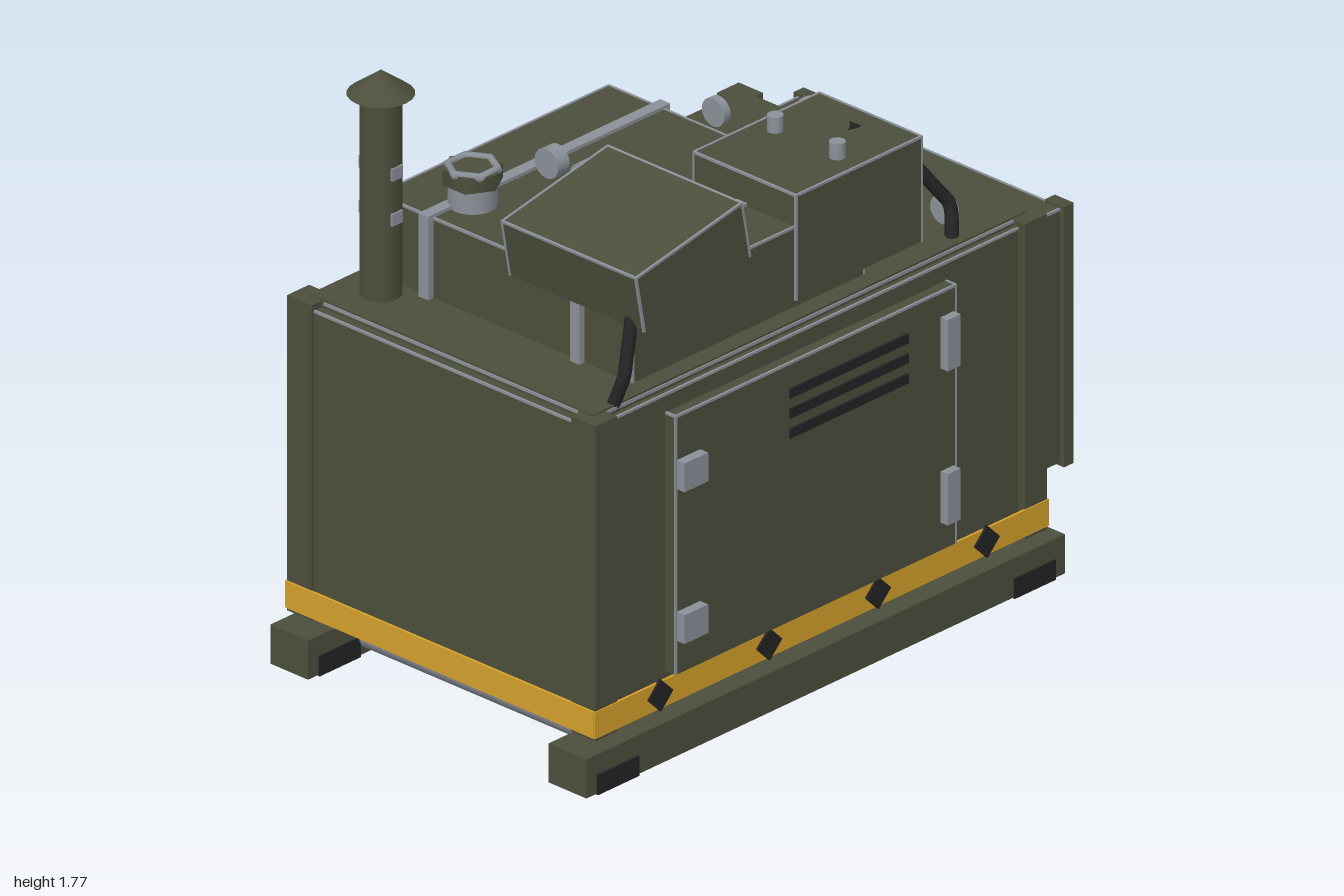
import * as THREE from 'three';

const mat = (name, color) => {
  const m = new THREE.MeshStandardMaterial({ color });
  m.name = name;
  return m;
};

export function createModel() {
  const olive = mat('olive paint', 0x4b4f3b);
  const steel = mat('steel', 0x8b9199);
  const black = mat('black rubber', 0x232323);
  const yellow = mat('warning yellow', 0xd6a02c);
  const model = new THREE.Group();
  model.name = 'generator';
  const CZ = -0.01; // centre line of the body

  const add = (name, geo, material, x = 0, y = 0, z = 0, parent = model) => {
    const m = new THREE.Mesh(geo, material);
    m.name = name;
    m.position.set(x, y, z);
    parent.add(m);
    return m;
  };
  // box given by its limits on each axis
  const box = (name, material, [x0, x1], [y0, y1], [z0, z1], parent = model) =>
    add(name, new THREE.BoxGeometry(x1 - x0, y1 - y0, z1 - z0), material,
      (x0 + x1) / 2, (y0 + y1) / 2, (z0 + z1) / 2, parent);
  const cyl = (name, material, r, h, x, y, z, sides = 20, axis = 'y') => {
    const g = new THREE.CylinderGeometry(r, r, h, sides);
    if (axis === 'x') g.rotateZ(Math.PI / 2);
    if (axis === 'z') g.rotateX(Math.PI / 2);
    return add(name, g, material, x, y, z);
  };
  // box with worn bare-metal upper and upright edges
  const wornBox = (name, X, Y, Z) => {
    const g = new THREE.Group();
    g.name = name;
    model.add(g);
    const mid = [X, Y, Z].map(([a, b]) => (a + b) / 2);
    const [w, h, d] = [X, Y, Z].map(([a, b]) => b - a);
    g.position.set(...mid);
    add(name + 'Panel', new THREE.BoxGeometry(w, h, d), olive, 0, 0, 0, g);
    const t = 0.007, o = 0.002;
    for (const s of [-1, 1]) {
      const ex = s * (w / 2 - t / 2 + o), ez = s * (d / 2 - t / 2 + o), ey = h / 2 - t / 2 + o;
      add('wornEdge', new THREE.BoxGeometry(w, t, t), steel, 0, ey, ez, g);
      add('wornEdge', new THREE.BoxGeometry(t, t, d), steel, ex, ey, 0, g);
      for (const q of [-1, 1])
        add('wornEdge', new THREE.BoxGeometry(t, h, t), steel, ex, 0, q * (d / 2 - t / 2 + o), g);
    }
    return g;
  };

  // skids, rubber feet and cross tubes
  for (const s of [-1, 1]) {
    const z = CZ + s * 0.515;
    box('skid', olive, [-1, 0.86], [0.003, 0.12], [z - 0.07, z + 0.07]);
    for (const x of [-0.88, 0.74])
      box('skidFoot', black, [x - 0.08, x + 0.08], [0, 0.06], [z - 0.075, z + 0.075]);
  }
  for (const x of [-0.76, 0.62]) cyl('crossTube', steel, 0.048, 1, x, 0.065, CZ, 20, 'z');

  // main enclosure
  wornBox('enclosure', [-0.94, 0.795], [0.165, 1.075], [CZ - 0.545, CZ + 0.545]);
  box('roof', olive, [-0.91, 0.77], [1.07, 1.1], [CZ - 0.525, CZ + 0.525]);
  for (const s of [-1, 1]) {
    box('roofTrim', steel, [-0.86, 0.72], [1.085, 1.094], [CZ + s * 0.525 - 0.004, CZ + s * 0.525 + 0.004]);
    for (const x of [-0.9075, 0.7625])
      box('cornerPost', olive, [x - 0.0425, x + 0.0425], [0.15, 1.095],
        [CZ + s * 0.525 - 0.045, CZ + s * 0.525 + 0.045]);
  }
  for (const x of [-0.91, 0.77])
    box('roofTrim', steel, [x - 0.004, x + 0.004], [1.085, 1.094], [CZ - 0.47, CZ + 0.47]);

  // warning band with diamonds
  for (const s of [-1, 1]) {
    const z = CZ + s * 0.57;
    box('warningBand', yellow, [-0.955, 0.81], [0.16, 0.24], [z - 0.004, z + 0.004]);
    const x = s < 0 ? -0.952 : 0.807;
    box('warningBand', yellow, [x - 0.004, x + 0.004], [0.16, 0.24], [CZ - 0.57, CZ + 0.57]);
    for (let i = 0; i < 4; i++) {
      const d = add('warningDiamond', new THREE.BoxGeometry(0.068, 0.068, 0.009), black,
        -0.705 + i * 0.423, 0.203, z + s * 0.006);
      d.rotation.z = Math.PI / 4;
    }
  }

  // front door with hinges, latches and vents
  wornBox('door', [-0.65, 0.44], [0.245, 1.02], [0.53, 0.572]);
  for (const y of [0.845, 0.39])
    box('hinge', steel, [-0.647, -0.555], [y - 0.043, y + 0.043], [0.56, 0.602]);
  for (const y of [0.867, 0.405])
    box('latch', steel, [0.38, 0.43], [y - 0.077, y + 0.077], [0.56, 0.598]);
  for (const y of [0.93, 0.87, 0.81])
    box('frontVent', black, [-0.21, 0.25], [y - 0.014, y + 0.014], [0.57, 0.579]);
  for (const y of [0.84, 0.775])
    box('backVent', black, [-0.44, -0.05], [y - 0.014, y + 0.014], [-0.575, -0.55]);

  // radiator with frame, louvres and fan
  wornBox('radiator', [0.79, 0.955], [0.27, 1.03], [CZ - 0.485, CZ + 0.485]);
  for (const s of [-1, 1]) {
    const z = CZ + s * 0.465;
    box('radiatorPost', olive, [0.945, 0.983], [0.26, 1.04], [z - 0.035, z + 0.035]);
  }
  for (const y of [0.87, 0.72, 0.57, 0.42])
    box('louvre', steel, [0.95, 0.972], [y - 0.025, y + 0.025], [CZ - 0.43, CZ + 0.43]);
  for (const a of [-1, 1]) {
    const b = add('fanBlade', new THREE.BoxGeometry(0.01, 0.43, 0.075), black, 0.962, 0.71, 0);
    b.rotation.x = a * Math.PI / 4;
  }
  cyl('fanHub', steel, 0.068, 0.05, 0.968, 0.71, 0, 20, 'x');
  const ring = add('fanRing', new THREE.TorusGeometry(0.272, 0.014, 8, 18), olive, 0.984, 0.71, 0);
  ring.rotation.y = Math.PI / 2;
  cyl('radiatorCap', steel, 0.045, 0.055, 0.87, 1.06, -0.36);

  // fuel tank with straps, filler and gauges
  wornBox('fuelTank', [-0.7, 0.2], [1.1, 1.34], [CZ - 0.475, CZ + 0.47]);
  for (const s of [-1, 1]) {
    const z = CZ - 0.005 + s * 0.28;
    box('tankStrap', steel, [-0.72, 0.22], [1.1, 1.35], [z - 0.018, z + 0.018]);
  }
  cyl('fillerNeck', steel, 0.068, 0.08, -0.565, 1.375, -0.26);
  cyl('fillerCap', olive, 0.085, 0.045, -0.565, 1.43, -0.26, 6);
  const grip = add('fillerGrip', new THREE.TorusGeometry(0.07, 0.013, 6, 6), steel, -0.565, 1.45, -0.26);
  grip.rotation.x = Math.PI / 2;
  for (const z of [-0.055, -0.185]) cyl('gauge', steel, 0.044, 0.045, -0.335, 1.41, z, 16, 'x');

  // exhaust stack
  cyl('exhaustPipe', olive, 0.058, 0.61, -0.775, 1.395, -0.4);
  add('rainCap', new THREE.ConeGeometry(0.093, 0.07, 20), olive, -0.775, 1.735, -0.4);
  for (const y of [1.345, 1.48])
    box('exhaustClamp', steel, [-0.795, -0.755], [y - 0.018, y + 0.018], [-0.463, -0.337]);

  // tilted air filter housing
  const filter = wornBox('airFilter', [-0.74, -0.32], [1.318, 1.494], [0.025, 0.522]);
  filter.rotation.z = 0.185;

  // control box with buttons
  wornBox('controlBox', [-0.07, 0.42], [1.12, 1.435], [0.085, 0.465]);
  for (const z of [0.155, 0.385]) cyl('button', steel, 0.023, 0.05, 0.175, 1.457, z, 12);

  // lifting eyes
  for (const z of [0.415, -0.43]) cyl('liftingEye', steel, 0.042, 0.025, 0.56, 1.15, z, 16, 'x');

  // cables
  const cable = (pts) => {
    const path = new THREE.CurvePath();
    const v = pts.map(p => new THREE.Vector3(...p));
    for (let i = 1; i < v.length; i++) path.add(new THREE.LineCurve3(v[i - 1], v[i]));
    const curve = new THREE.CatmullRomCurve3(path.getSpacedPoints(14));
    add('cable', new THREE.TubeGeometry(curve, 28, 0.019, 8), black);
  };
  cable([[0.32, 1.435, 0.28], [0.44, 1.36, 0.355], [0.56, 1.17, 0.44], [0.525, 1.09, 0.475]]);
  cable([[-0.66, 1.36, 0.43], [-0.745, 1.26, 0.49], [-0.79, 1.17, 0.515], [-0.82, 1.085, 0.5]]);

  return model;
}
